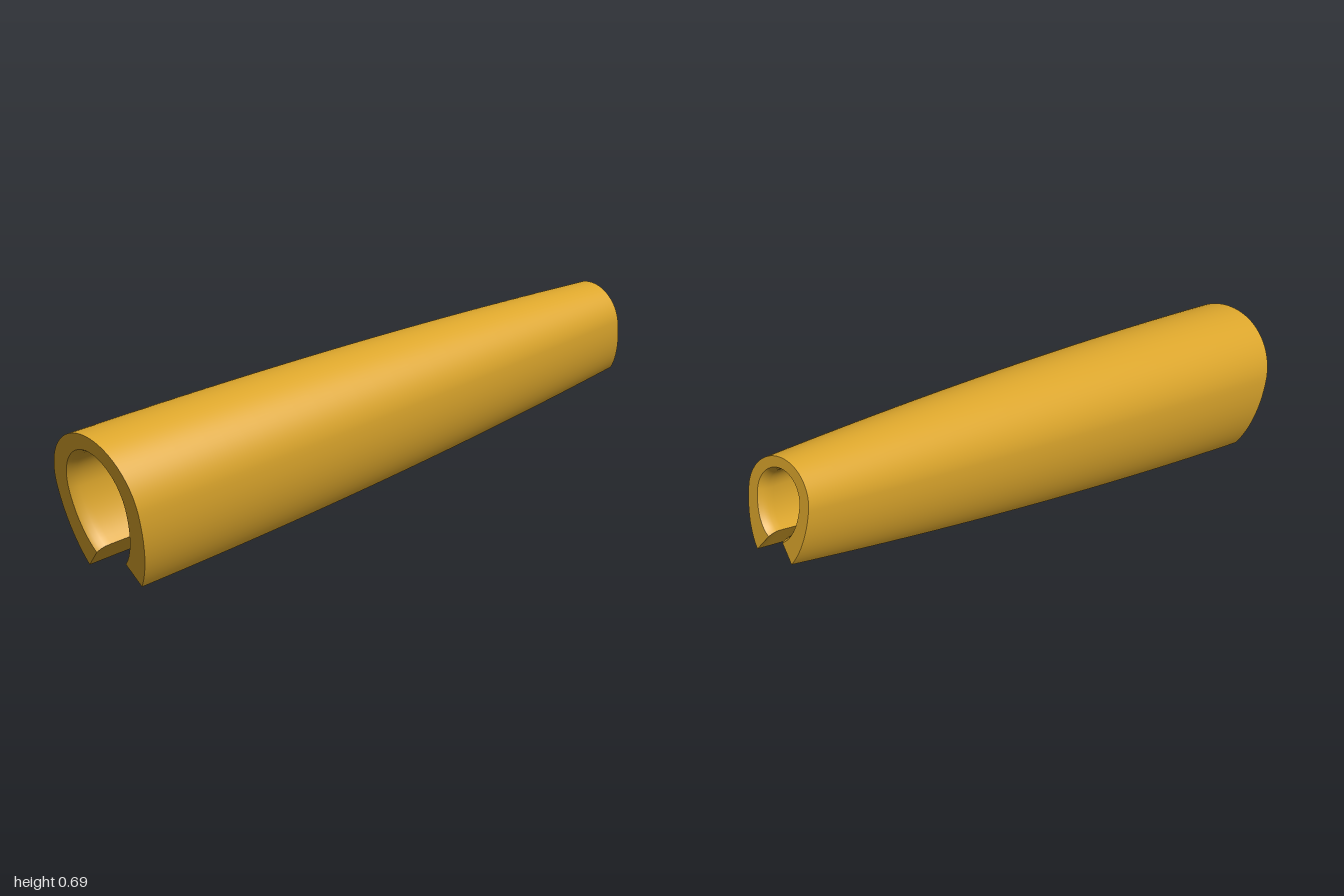
import * as THREE from 'three';

const lerp = THREE.MathUtils.lerp;

// Section sizes at the wide front end and the narrow back end.
// a: half width, c: height of the widest line, top / low: radii above and below it, k: where the slot cuts
const OUTER = { a: [0.225, 0.13], c: [0.265, 0.19], top: [0.22, 0.13], low: [0.346, 0.233], k: [0.765, 0.817] };
const BORE = { a: [0.14, 0.075], c: [0.265, 0.19], top: [0.15, 0.08], low: [0.222, 0.127], k: [0.857, 0.943] };

// Point on a shell: p runs -1..1 from one slot lip over the crown to the other, t runs front to back
function shellPoint(spec, p, t, flare) {
  const at = (key) => lerp(spec[key][0], spec[key][1], t);
  const bulge = 0.02 * 4 * t * (1 - t);
  const phi = p * Math.acos(-at('k'));
  const up = Math.cos(phi);
  const grow = bulge + flare;
  const u = (at('a') + grow) * Math.sin(phi);
  const v = at('c') + ((up > 0 ? at('top') : at('low')) + grow) * up;
  const base = new THREE.Vector3(lerp(-0.82, 0.945, t), lerp(0.005, 0.375, t), lerp(0.567, -0.69, t));
  return base
    .addScaledVector(new THREE.Vector3(0.6, 0, 0.8), u)
    .addScaledVector(new THREE.Vector3(lerp(-0.187, -0.125, t), 1, lerp(0.135, 0.085, t)), v);
}

const outer = (p, t) => shellPoint(OUTER, p, t, 0);

// The bore opens slightly at both mouths
function bore(p, t) {
  const near = Math.max(0, 1 - Math.min(t, 1 - t) / 0.018);
  return shellPoint(BORE, p, t, 0.016 * near * near);
}

// Smooth grid surface from a rule fn(i, j), both 0..1
function patch(name, nu, nv, fn, material) {
  const pos = [];
  const index = [];
  for (let j = 0; j <= nv; j++) {
    for (let i = 0; i <= nu; i++) pos.push(...fn(i / nu, j / nv).toArray());
  }
  for (let j = 0; j < nv; j++) {
    for (let i = 0; i < nu; i++) {
      const a = j * (nu + 1) + i;
      const d = a + nu + 1;
      index.push(a, a + 1, d + 1, a, d + 1, d);
    }
  }
  const geometry = new THREE.BufferGeometry();
  geometry.setAttribute('position', new THREE.Float32BufferAttribute(pos, 3));
  geometry.setIndex(index);
  geometry.computeVertexNormals();
  const mesh = new THREE.Mesh(geometry, material);
  mesh.name = name;
  return mesh;
}

export function createModel() {
  const gold = new THREE.MeshStandardMaterial({ color: 0xdca62c, side: THREE.DoubleSide });
  gold.name = 'gold';
  const group = new THREE.Group();
  group.name = 'slottedTube';

  // Stations crowd towards the ends so the mouths stay round
  const along = (s) => (1 - Math.cos(Math.PI * s)) / 2;

  // Outside and inside walls
  group.add(patch('outerWall', 64, 40, (i, j) => outer(2 * i - 1, along(j)), gold));
  group.add(patch('boreWall', 64, 40, (i, j) => bore(1 - 2 * i, along(j)), gold));

  // Slanted lips on both sides of the slot underneath
  for (const side of [1, -1]) {
    group.add(patch(side > 0 ? 'leftSlotLip' : 'rightSlotLip', 1, 40, (i, j) => {
      const s = side > 0 ? i : 1 - i;
      const t = along(j);
      return outer(side, t).lerp(bore(side, t), s);
    }, gold));
  }

  // Flat rims closing the wall at each end
  for (const t of [0, 1]) {
    group.add(patch(t ? 'backRim' : 'frontRim', 64, 1, (i, j) => {
      const p = t ? 2 * i - 1 : 1 - 2 * i;
      return outer(p, t).lerp(bore(p, t), j);
    }, gold));
  }
  return group;
}
